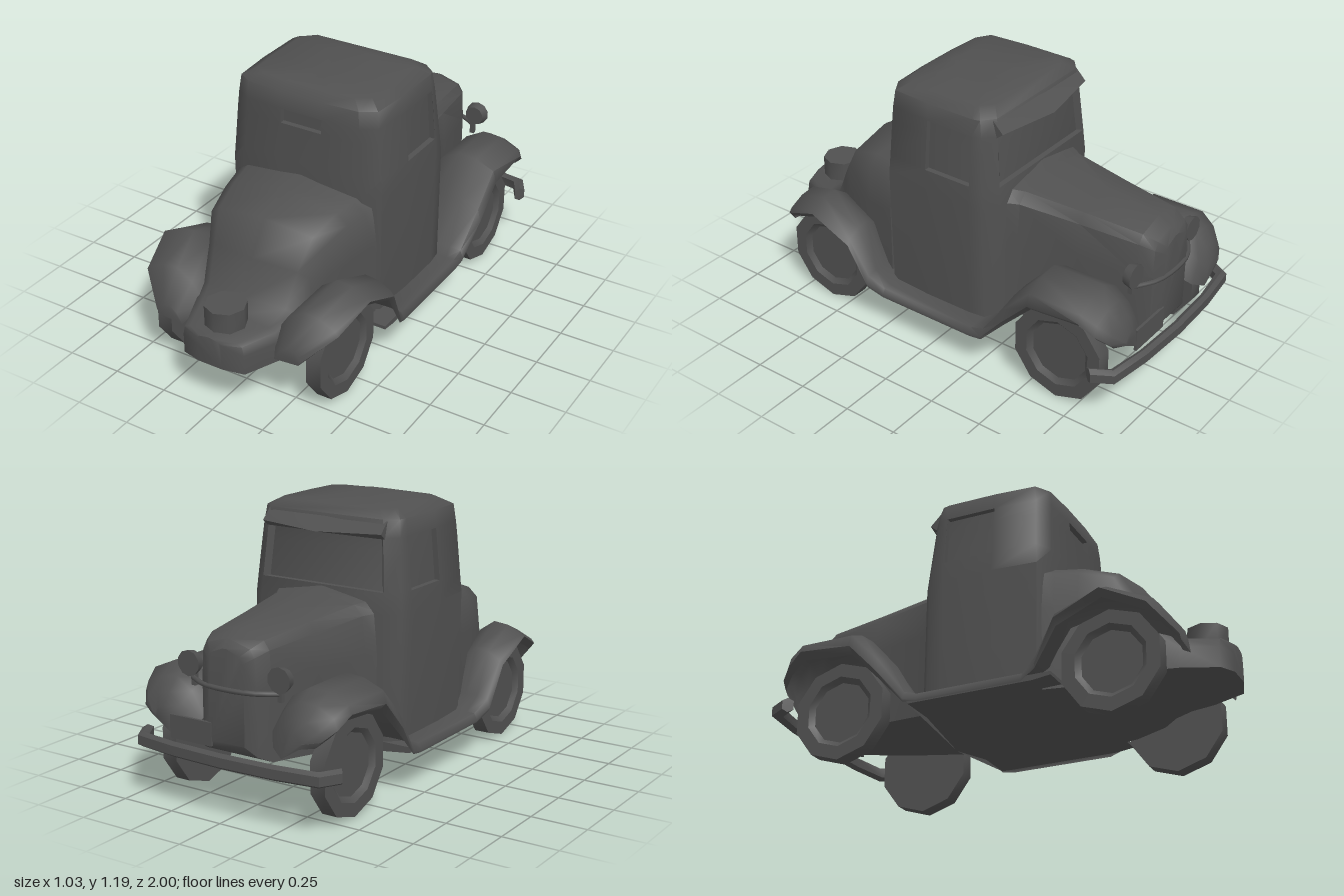
import * as THREE from 'three';
import { toCreasedNormals } from 'three/addons/utils/BufferGeometryUtils.js';

const material = new THREE.MeshStandardMaterial({ color: 0x505050, side: THREE.DoubleSide });

// Skin through cross-section rings of [x, y, z] points
function loft(rings, { closed = true, caps = true, skip = () => false, crease = 0.6 } = {}) {
  const n = rings[0].length, index = [];
  for (let i = 0; i < rings.length - 1; i++) {
    for (let j = 0; j < (closed ? n : n - 1); j++) {
      if (skip(i, j)) continue;
      const k = (j + 1) % n, a = i * n + j, b = i * n + k, c = b + n, d = a + n;
      index.push(a, b, c, a, c, d);
    }
  }
  if (caps) {
    const last = (rings.length - 1) * n;
    for (let j = 1; j < n - 1; j++) {
      index.push(0, j + 1, j, last, last + j, last + j + 1);
    }
  }
  const geo = new THREE.BufferGeometry();
  geo.setAttribute('position', new THREE.Float32BufferAttribute(rings.flat(2), 3));
  geo.setIndex(index);
  return toCreasedNormals(geo, crease);
}

const flip = ring => ring.map(([x, y, z]) => [-x, y, z]).reverse();

// Symmetric body section: sides, rounded shoulder, crowned top; bow sweeps the sides forward
function bodyRing([z, top, w, bottom, bow = 0]) {
  const h = top - bottom;
  const half = [[w, bottom], [w, bottom + h * 0.6], [w * 0.94, top - h * 0.13],
    [w * 0.78, top - h * 0.06], [0.01, top]].map(([x, y]) => [x, y, z - bow * (x / w) ** 2]);
  return [...half, ...flip(half)];
}

// Horizontal cab section, from rear middle to front middle and back
function cabRing([y, w, zf, zr], inset = 0) {
  w -= inset; zf += inset; zr -= inset;
  const s = w / 0.385;
  const half = [
    [Math.min(0.1, w * 0.35), y, zr], [w - 0.09 * s, y, zr - 0.01], [w - 0.015 * s, y, zr - 0.05],
    [w, y, 0.06], [w, y, Math.max(-0.17, zf + 0.06)], [w - 0.01 * s, y, zf + 0.045], [w - 0.07 * s, y, zf],
  ];
  return [...half, ...flip(half)];
}

// Fender section from the outer lip over the crown to the body
function fenderRing([z, xi, xo, yc, lip]) {
  const w = xo - xi, k = THREE.MathUtils.clamp((yc - 0.2) / 0.3, 0.05, 1);
  return [[xo - 0.03 * k, lip - 0.02 * k, z], [xo, lip + 0.01, z], [xo - 0.015, yc - 0.045 * k, z], [xo - 0.3 * w, yc - 0.008 * k, z],
    [xi + 0.45 * w, yc, z], [xi + 0.2 * w, yc - 0.05 * k, z], [xi, yc - 0.15 * k, z]];
}

export function createModel() {
  const model = new THREE.Group();
  model.name = 'pickup';
  const add = (name, geometry, x = 0, y = 0, z = 0) => {
    const mesh = new THREE.Mesh(geometry, material);
    mesh.name = name;
    mesh.position.set(x, y, z);
    model.add(mesh);
    return mesh;
  };

  // Cab shell: y, half width, front z, rear z
  const levels = [
    [0.18, 0.38, -0.29, 0.31], [0.75, 0.385, -0.285, 0.315], [0.84, 0.378, -0.277, 0.31],
    [1.0, 0.364, -0.262, 0.305], [1.065, 0.357, -0.257, 0.303], [1.14, 0.348, -0.245, 0.295],
    [1.172, 0.29, -0.2, 0.25], [1.19, 0.08, -0.12, 0.17],
  ];
  const shell = levels.map(level => cabRing(level));
  const inner = levels.map(level => cabRing(level, 0.025));
  // Window openings: name, column, bottom level, top level
  const windows = [['leftWindow', 3, 2, 4], ['windshield', 6, 2, 4], ['rightWindow', 9, 2, 4], ['rearWindow', 13, 3, 4]];
  const opening = (i, j) => windows.some(([, col, low, high]) => j === col && i >= low && i < high);
  add('cab', loft(shell, { skip: opening, crease: 1 }));
  add('windowGlass', loft(inner.slice(2, 5), { caps: false, crease: 1 }));
  for (const [name, col, low, high] of windows) {
    const next = (col + 1) % 14;
    const loop = rings => [rings[low][col], rings[low][next], rings[high][next], rings[high][col]];
    add(name + 'Frame', loft([loop(inner), loop(shell)], { caps: false }));
  }

  // Sun visor, pointed in the middle
  add('sunVisor', loft([-0.3, 0, 0.3].map(x => {
    const tip = x ? -0.285 : -0.33;
    return [[x, 1.135, -0.235], [x, 1.06, -0.255], [x, x ? 1.085 : 1.075, tip]];
  })));

  // Hood and rear deck: z, top, half width, bottom, bow
  add('hood', loft([
    [-0.945, 0.71, 0.09, 0.32], [-0.92, 0.745, 0.135, 0.28], [-0.86, 0.775, 0.165, 0.25],
    [-0.6, 0.8, 0.205, 0.22], [-0.33, 0.825, 0.255, 0.2], [-0.26, 0.835, 0.3, 0.18],
  ].map(bodyRing)));
  add('rearDeck', loft([
    [0.28, 0.79, 0.355, 0.17], [0.33, 0.78, 0.345, 0.17], [0.43, 0.77, 0.325, 0.17], [0.6, 0.72, 0.295, 0.19, 0.03],
    [0.7, 0.58, 0.265, 0.21, 0.07], [0.76, 0.42, 0.24, 0.22, 0.05], [0.82, 0.375, 0.215, 0.22],
    [0.97, 0.37, 0.15, 0.22], [1.0, 0.365, 0.06, 0.23],
  ].map(bodyRing), { crease: 1.1 }));
  const cap = toCreasedNormals(new THREE.CylinderGeometry(0.09, 0.09, 0.1, 8), 0.9);
  add('fillerCap', cap, 0, 0.41, 0.875);

  // Keel-shaped floor
  add('floor', loft([[-0.29, 0.12, 0.175], [0.28, 0.135, 0.175], [0.36, 0.18, 0.185]].map(([z, keel, edge]) =>
    [[0, keel, z], [0.28, edge, z], [0.45, edge, z], [0.45, 0.2, z],
      [-0.45, 0.2, z], [-0.45, edge, z], [-0.28, edge, z]])));

  // Fenders joined by running boards: z, inner x, outer x, crown, lip
  const fender = [
    [-0.95, 0.27, 0.38, 0.42, 0.38], [-0.92, 0.21, 0.44, 0.475, 0.39], [-0.87, 0.17, 0.48, 0.53, 0.43],
    [-0.8, 0.15, 0.5, 0.57, 0.48], [-0.555, 0.15, 0.5, 0.57, 0.46], [-0.42, 0.17, 0.497, 0.42, 0.32],
    [-0.3, 0.24, 0.477, 0.23, 0.18], [-0.24, 0.3, 0.475, 0.21, 0.17], [0.24, 0.3, 0.475, 0.21, 0.17],
    [0.31, 0.28, 0.5, 0.27, 0.21], [0.4, 0.26, 0.513, 0.46, 0.39], [0.6, 0.23, 0.515, 0.54, 0.48],
    [0.78, 0.18, 0.475, 0.47, 0.4], [0.875, 0.23, 0.36, 0.34, 0.29],
  ].map(fenderRing);
  const strip = { closed: false, crease: 1.1 };
  add('leftFenders', loft(fender, strip));
  add('rightFenders', loft(fender.map(flip), strip));

  // Wheels: ten-sided, flat inside, dished hub outside
  const profile = [[0, -0.035], [0.22, -0.035], [0.22, 0.035], [0.16, 0.035], [0.137, 0.015], [0, 0.015]]
    .map(([r, h]) => new THREE.Vector2(r, h));
  const wheelGeo = toCreasedNormals(new THREE.LatheGeometry(profile, 10, Math.PI / 2), 0.66);
  const lampGeo = toCreasedNormals(new THREE.CylinderGeometry(0.045, 0.055, 0.04, 10), 0.7);
  for (const side of [1, -1]) {
    const label = side > 0 ? 'left' : 'right';
    for (const [end, z] of [['Rear', 0.6], ['Front', -0.645]]) {
      add(label + end + 'Wheel', wheelGeo, side * 0.375, 0.22, z).rotation.z = -side * Math.PI / 2;
    }
    // Headlamp with its short stalk
    add(label + 'Headlamp', lampGeo, side * 0.225, 0.605, -0.878).rotation.x = Math.PI / 2;
    add(label + 'LampStalk', new THREE.BoxGeometry(0.02, 0.07, 0.02), side * 0.215, 0.545, -0.87);
  }

  // Curved lamp bar and wrap-around bumper
  const barPath = [[-0.215, -0.88], [-0.12, -0.935], [0, -0.95], [0.12, -0.935], [0.215, -0.88]]
    .map(([x, z]) => new THREE.Vector3(x, 0.545, z));
  add('lampBar', new THREE.TubeGeometry(new THREE.CatmullRomCurve3(barPath), 10, 0.011, 6));
  const bumperPath = [[-0.49, -0.855], [-0.44, -0.94], [-0.25, -0.967], [0, -0.977],
    [0.25, -0.967], [0.44, -0.94], [0.49, -0.855]];
  add('frontBumper', loft(bumperPath.map(([x, z]) => {
    const out = Math.sign(x) * (Math.abs(x) > 0.4 ? 0.015 : 0);
    return [[x - out, 0.275, z + 0.02], [x - out, 0.235, z + 0.02], [x, 0.222, z], [x + out, 0.235, z - 0.018],
      [x + out, 0.275, z - 0.018], [x, 0.288, z]];
  }), { crease: 0.9 }));

  // Blank plate beside the grille
  add('frontPlate', new THREE.BoxGeometry(0.21, 0.1, 0.012), 0.18, 0.345, -0.945);

  return model;
}
